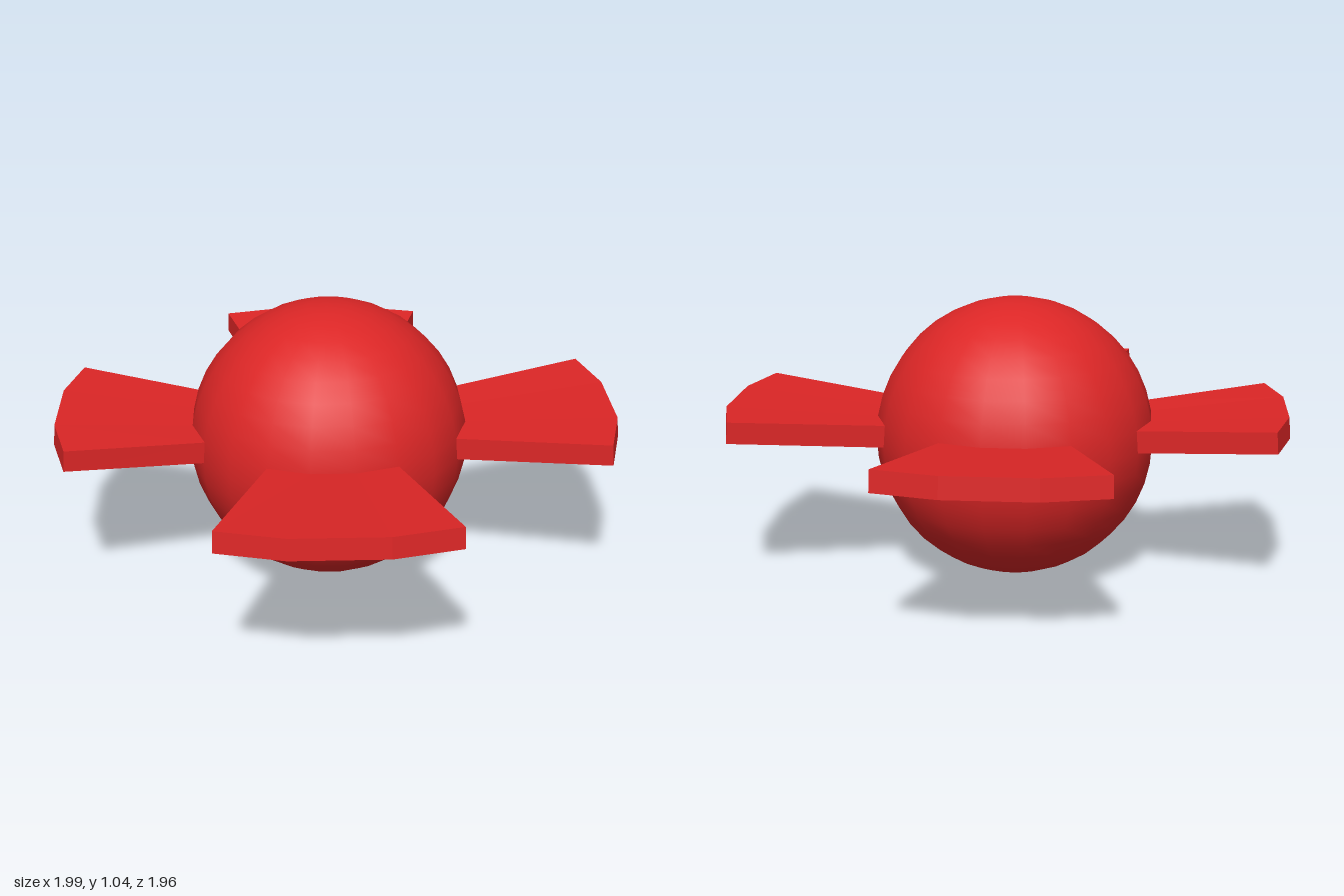
import * as THREE from 'three';

const RADIUS = 0.518;
const SEGMENTS = 20;
const STEP = Math.PI / SEGMENTS; // height of one ring of the ball

// Wedge fin in three facets, running outward along +z, flaring and rising slightly
function finGeometry(reach) {
  const geo = new THREE.BoxGeometry(1, 1, 1, 3, 1, 1);
  const pos = geo.attributes.position;
  for (let i = 0; i < pos.count; i++) {
    const x = pos.getX(i);
    const top = pos.getY(i) > 0;
    const outer = pos.getZ(i) > 0;
    const edge = Math.abs(x) > 0.4;
    const degrees = Math.sign(x) * (edge ? (outer ? 22.2 : 27) : 9);
    const a = THREE.MathUtils.degToRad(degrees);
    let r, y;
    if (outer) {
      r = (edge ? 1.08 : 1.074) * reach - (top ? 0.006 : 0);
      y = top ? 0.126 : 0.048;
    } else {
      r = RADIUS * (top ? Math.cos(STEP) : 1);
      y = top ? RADIUS * Math.sin(STEP) : 0;
    }
    pos.setXYZ(i, r * Math.sin(a), y, r * Math.cos(a));
  }
  const flat = geo.toNonIndexed();
  flat.computeVertexNormals();
  return flat;
}

export function createModel() {
  const red = new THREE.MeshStandardMaterial({ color: 0xdc2626 });
  red.name = 'red';

  const model = new THREE.Group();
  model.name = 'finnedBall';
  model.position.set(0, 0.52, -0.02);

  // Smooth ball
  const ball = new THREE.Mesh(new THREE.SphereGeometry(RADIUS, SEGMENTS, SEGMENTS), red);
  ball.name = 'ball';
  model.add(ball);

  // Four diagonal fins, the rear pair a little shorter
  const fins = [
    ['frontLeftFin', 45, 1],
    ['backLeftFin', 135, 0.967],
    ['backRightFin', 225, 0.95],
    ['frontRightFin', 315, 1.003],
  ];
  for (const [name, angle, reach] of fins) {
    const fin = new THREE.Mesh(finGeometry(reach), red);
    fin.name = name;
    fin.rotation.y = THREE.MathUtils.degToRad(angle);
    model.add(fin);
  }

  const root = new THREE.Group();
  root.add(model);
  return root;
}
